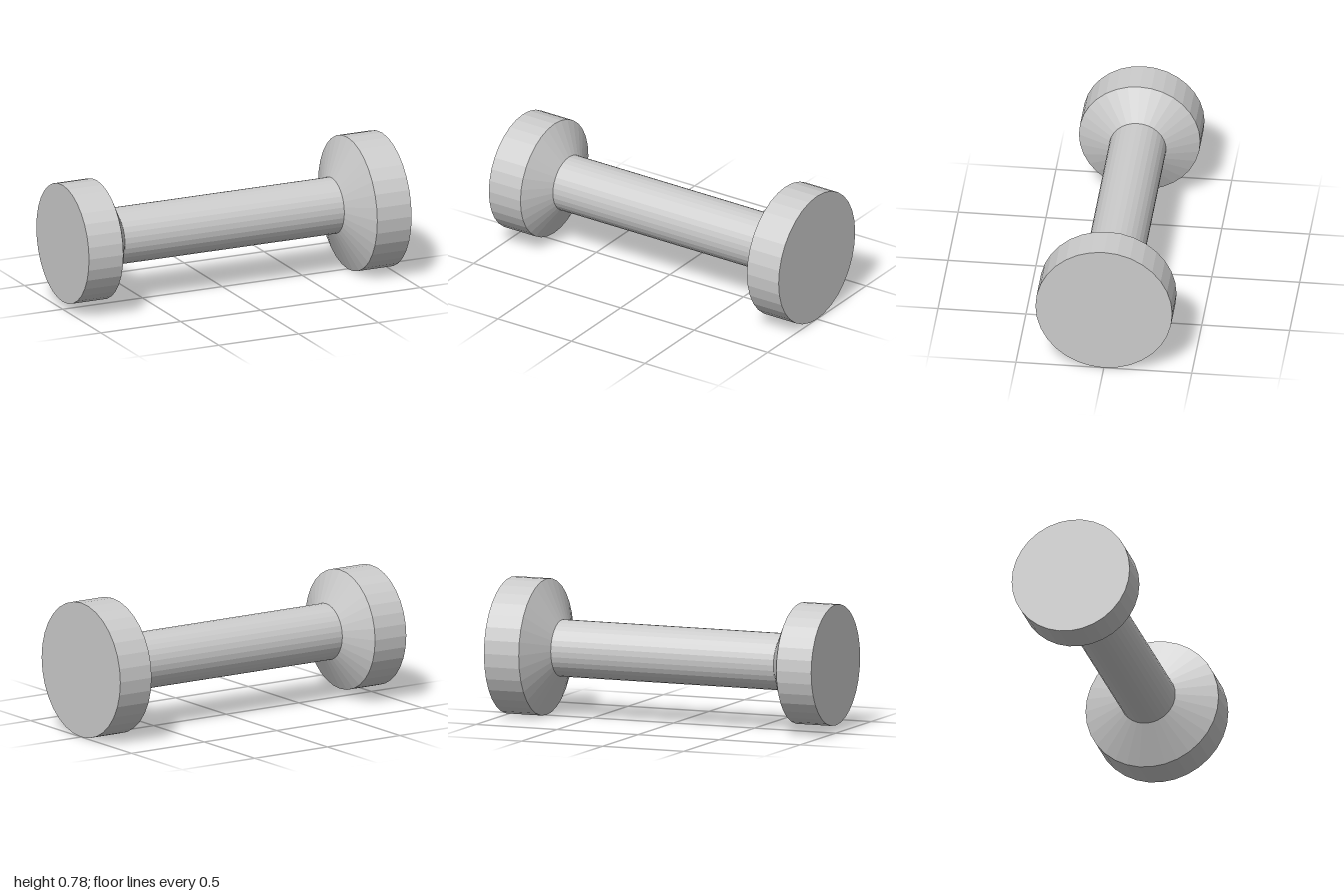
import * as THREE from 'three';

const SIDES = 32;
const AXIS_Y = 0.389;
const GRIP_RADIUS = 0.162;

export function createModel() {
  const group = new THREE.Group();
  const material = new THREE.MeshStandardMaterial({ color: 0xcccccc, flatShading: true });

  // Round section lying along x, from x0 (radius r0) to x1 (radius r1)
  function section(parent, name, x0, x1, r0, r1, open = false) {
    const geometry = new THREE.CylinderGeometry(r1, r0, x1 - x0, SIDES, 1, open);
    geometry.rotateZ(-Math.PI / 2);
    const mesh = new THREE.Mesh(geometry, material);
    mesh.name = name;
    mesh.position.set((x0 + x1) / 2, AXIS_Y, 0);
    parent.add(mesh);
  }

  // Handle between the two weights
  section(group, 'handle', -0.687, 0.687, GRIP_RADIUS, GRIP_RADIUS, true);

  // Larger weight on the left (+x)
  const left = new THREE.Group();
  left.name = 'leftWeight';
  section(left, 'leftTaper', 0.687, 0.785, GRIP_RADIUS, 0.389, true);
  section(left, 'leftDisc', 0.785, 1, 0.389, 0.389);
  group.add(left);

  // Smaller weight on the right (-x)
  const right = new THREE.Group();
  right.name = 'rightWeight';
  section(right, 'rightTaper', -0.785, -0.687, 0.345, GRIP_RADIUS, true);
  section(right, 'rightDisc', -1, -0.785, 0.345, 0.345);
  group.add(right);

  return group;
}
